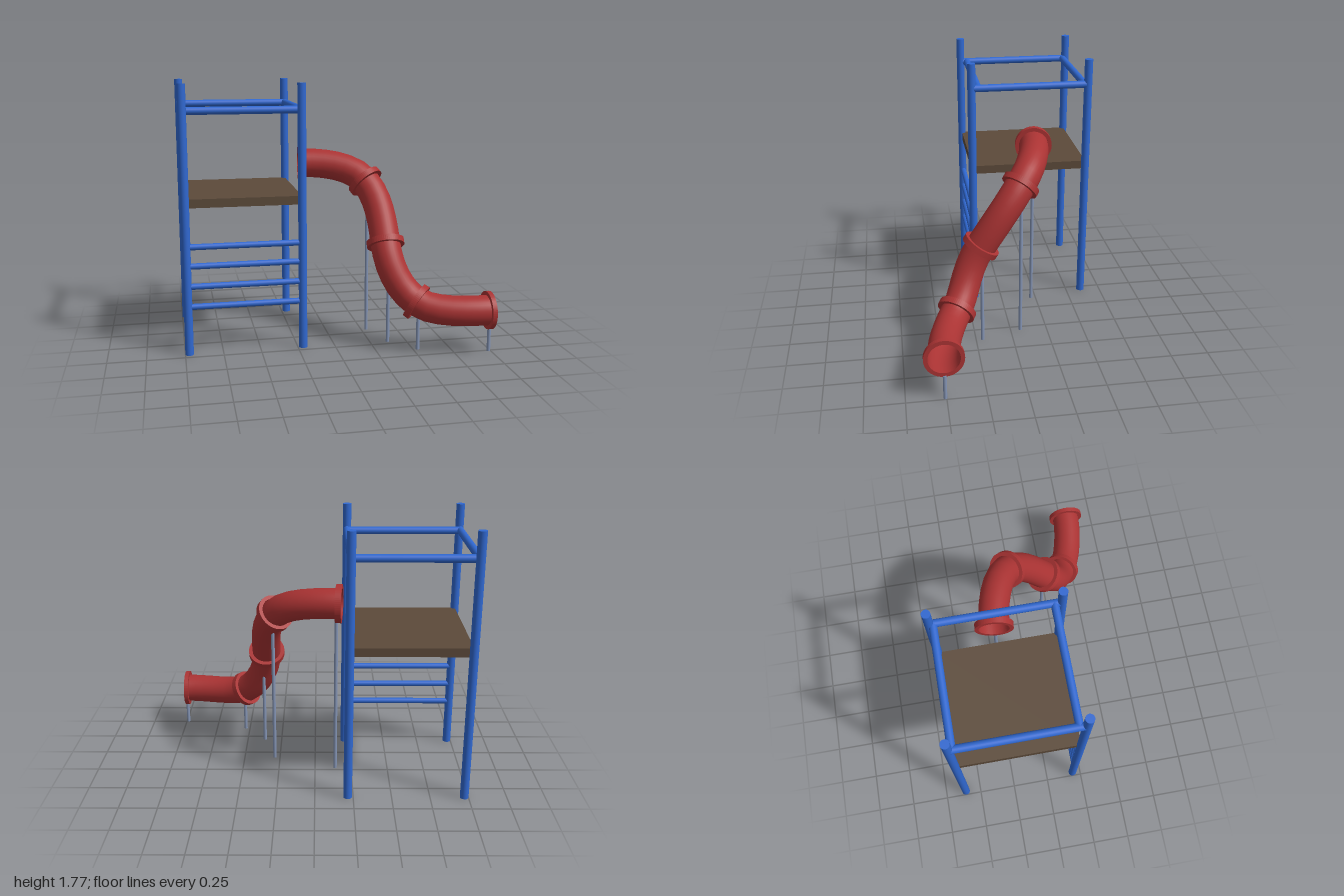
import * as THREE from 'three';

const V = (x, y, z) => new THREE.Vector3(x, y, z);
const paint = (color, side = THREE.FrontSide) => new THREE.MeshStandardMaterial({ color, side });

export function createModel() {
  const blue = paint(0x3068d0);
  const red = paint(0xaa3333, THREE.DoubleSide);
  const brown = paint(0x5c4a3a);
  const steel = paint(0x8494b4);
  const root = new THREE.Group();
  root.name = 'playTower';

  const add = (parent, name, geometry, material) => {
    const mesh = new THREE.Mesh(geometry, material);
    mesh.name = name;
    parent.add(mesh);
    return mesh;
  };

  // round bar between two points
  const bar = (parent, name, a, b, radius, material, sides = 24) => {
    const mesh = add(parent, name, new THREE.CylinderGeometry(radius, radius, a.distanceTo(b), sides), material);
    mesh.position.copy(a).lerp(b, 0.5);
    mesh.quaternion.setFromUnitVectors(V(0, 1, 0), b.clone().sub(a).normalize());
  };

  // tower: corner posts, top rails, ladder rungs and deck
  const tower = new THREE.Group();
  tower.name = 'tower';
  root.add(tower);
  const xs = [-0.973, -0.214], zs = [-0.608, 0.194];
  for (const x of xs) {
    for (const z of zs) bar(tower, 'post', V(x, 0, z), V(x, 1.767, z), 0.028, blue);
    bar(tower, 'sideTopRail', V(x, 1.594, zs[0]), V(x, 1.594, zs[1]), 0.025, blue);
  }
  for (const z of [-0.585, 0.148])
    bar(tower, 'crossTopRail', V(xs[0], 1.594, z), V(xs[1], 1.594, z), 0.025, blue);
  for (const y of [0.324, 0.46, 0.596, 0.724])
    bar(tower, 'ladderRung', V(xs[0], y, 0.19), V(xs[1], y, 0.19), 0.02, blue);
  const deck = add(tower, 'platform', new THREE.BoxGeometry(xs[1] - xs[0], 0.057, zs[1] - zs[0]), brown);
  deck.position.set((xs[0] + xs[1]) / 2, 1.008, (zs[0] + zs[1]) / 2);

  // slide: joints with position and direction, from top to bottom
  const slide = new THREE.Group();
  slide.name = 'tubeSlide';
  root.add(slide);
  const joints = [
    { p: V(-0.155, 1.197, -0.222), d: V(1, 0, 0.1) },
    { p: V(0.27, 1.077, -0.065), d: V(0.49, -0.66, 0.57) },
    { p: V(0.347, 0.697, 0.207), d: V(0, -0.84, 0.55) },
    { p: V(0.517, 0.333, 0.387), d: V(0.71, -0.5, 0.48) },
    { p: V(0.975, 0.284, 0.508), d: V(1, 0, 0) },
  ];
  joints.forEach((j) => j.d.normalize());
  // handle lengths at the start and end of each bend
  const handles = [[0.16, 0.15], [0.157, 0.157], [0.19, 0.135], [0.125, 0.155]];
  handles.forEach(([h0, h1], i) => {
    const a = joints[i], b = joints[i + 1];
    const bend = new THREE.CubicBezierCurve3(
      a.p, a.p.clone().addScaledVector(a.d, h0), b.p.clone().addScaledVector(b.d, -h1), b.p);
    add(slide, 'tubeSection', new THREE.TubeGeometry(bend, 6, 0.1, 32), red);
  });

  // flange rings with square edges
  const ring = new THREE.Shape().absarc(0, 0, 0.126, 0, Math.PI * 2);
  ring.holes.push(new THREE.Path().absarc(0, 0, 0.1, 0, Math.PI * 2, true));
  joints.forEach(({ p, d }, i) => {
    const depth = i === 4 ? 0.03 : 0.04;
    const geometry = new THREE.ExtrudeGeometry(ring, { depth, bevelEnabled: false, curveSegments: 32 });
    geometry.translate(0, 0, -depth / 2);
    const flange = add(slide, 'flange', geometry, red);
    flange.position.copy(p);
    flange.quaternion.setFromUnitVectors(V(0, 0, 1), d);
  });

  // slender legs under the flanges: x, top, z
  for (const [x, top, z] of [
    [-0.139, 1.08, -0.217], [0.286, 0.975, -0.068], [0.372, 0.56, 0.205],
    [0.53, 0.235, 0.39], [0.986, 0.165, 0.508],
  ]) bar(root, 'slideLeg', V(x, 0, z), V(x, top, z), 0.012, steel, 16);

  return root;
}
